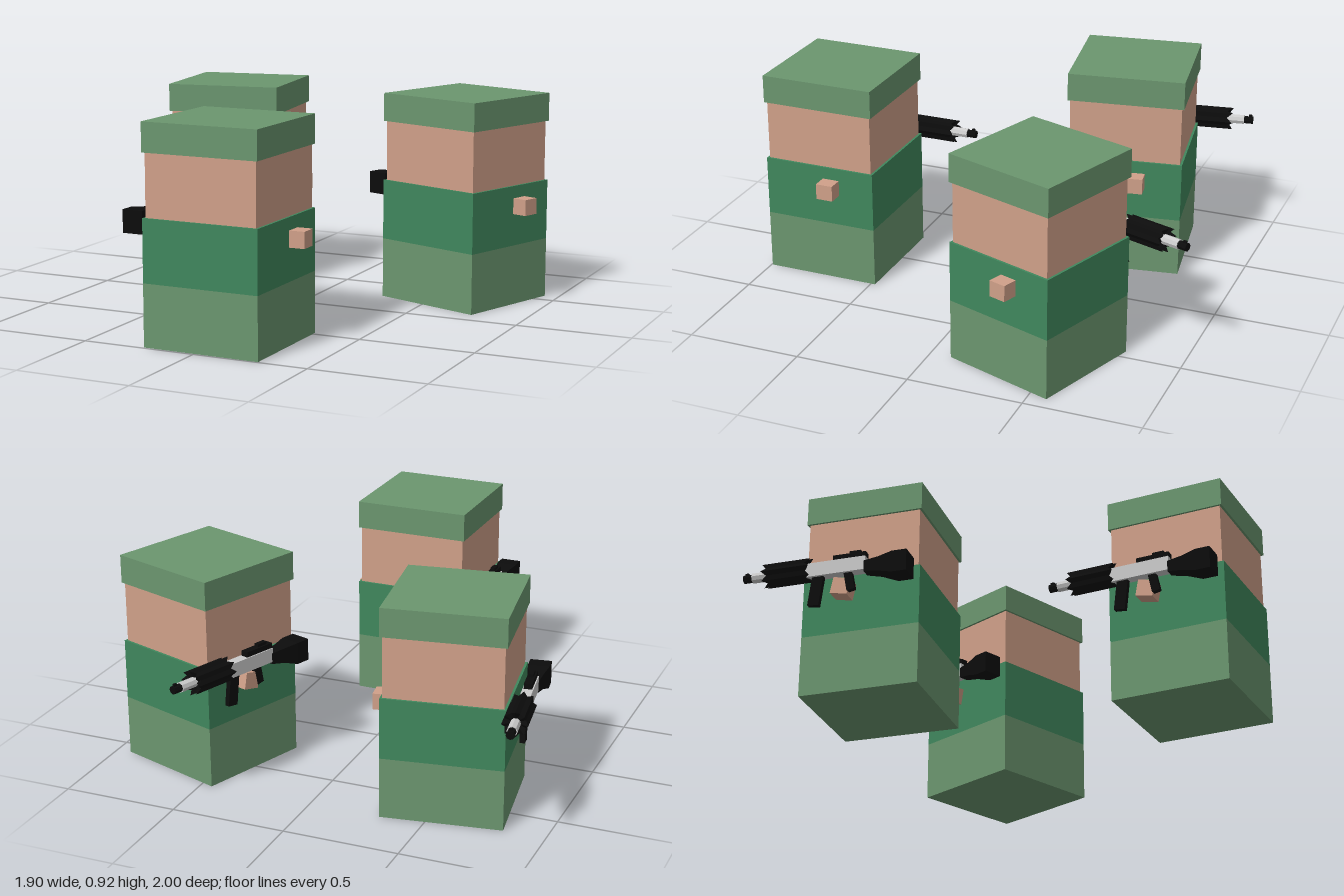
import * as THREE from 'three';

const mat = (color) => new THREE.MeshStandardMaterial({ color, flatShading: true });
const lightGreen = mat(0x6b966f);
const darkGreen = mat(0x40875d);
const skin = mat(0xd0a089);
const black = mat(0x0c0c0c);
const grey = mat(0xcccccc);

function add(parent, name, geometry, material, x = 0, y = 0, z = 0) {
  const mesh = new THREE.Mesh(geometry, material);
  mesh.name = name;
  mesh.position.set(x, y, z);
  parent.add(mesh);
  return mesh;
}

// Box given by its width and its y and z ranges
function block(parent, name, material, width, y0, y1, z0, z1, x = 0) {
  const geometry = new THREE.BoxGeometry(width, y1 - y0, z1 - z0);
  return add(parent, name, geometry, material, x, (y0 + y1) / 2, (z0 + z1) / 2);
}

// Cylinder lying along z
function rod(parent, name, material, radius, y, z0, z1, sides = 8) {
  const geometry = new THREE.CylinderGeometry(radius, radius, z1 - z0, sides).rotateX(Math.PI / 2);
  return add(parent, name, geometry, material, 0, y, (z0 + z1) / 2);
}

// Ridged sleeve: alternating radii, outer ridges reach further, ends hollowed
function handguardGeometry() {
  const sides = 16, half = 0.085;
  const g = new THREE.CylinderGeometry(1, 1, 2, sides);
  const p = g.attributes.position;
  for (let i = 0; i < p.count; i++) {
    const x = p.getX(i), z = p.getZ(i), end = p.getY(i);
    if (Math.hypot(x, z) < 0.5) {
      p.setY(i, end * (half - 0.01));
      continue;
    }
    const k = Math.round((Math.atan2(z, x) / (2 * Math.PI)) * sides + sides);
    const outer = k % 2 === 0;
    const r = outer ? 0.053 : 0.045;
    p.setXYZ(i, x * r, end * (outer ? half + 0.022 : half), z * r);
  }
  return g.rotateX(Math.PI / 2);
}

// Stock flaring from the receiver to the butt
function stockGeometry() {
  const g = new THREE.BoxGeometry(0.09, 0.096, 0.195, 1, 1, 3);
  const p = g.attributes.position;
  for (let i = 0; i < p.count; i++) {
    const t = p.getZ(i) / 0.195 + 0.5;
    const s = t < 0.2 ? 0.5 : t < 0.5 ? 0.68 : 1;
    p.setX(i, p.getX(i) * s);
    p.setY(i, 0.02 * (1 - s) + p.getY(i) * s);
  }
  return g;
}

function createRifle() {
  const rifle = new THREE.Group();
  rifle.name = 'rifle';
  rod(rifle, 'muzzle', black, 0.018, 0.54, -0.505, -0.46);
  block(rifle, 'frontSight', black, 0.01, 0.55, 0.565, -0.5, -0.485);
  rod(rifle, 'barrel', grey, 0.022, 0.54, -0.465, -0.19);
  add(rifle, 'handguard', handguardGeometry(), black, 0, 0.54, -0.303);
  block(rifle, 'receiver', grey, 0.044, 0.5, 0.562, -0.22, 0.045);
  block(rifle, 'sightRail', black, 0.034, 0.56, 0.585, -0.1, 0.045);
  block(rifle, 'rearSight', black, 0.02, 0.582, 0.598, -0.03, 0.02);
  const magazine = block(rifle, 'magazine', black, 0.022, 0.37, 0.51, -0.2, -0.15);
  magazine.rotation.x = 0.12;
  const grip = block(rifle, 'pistolGrip', black, 0.022, 0.42, 0.51, -0.045, -0.01);
  grip.rotation.x = -0.2;
  add(rifle, 'stock', stockGeometry(), black, 0, 0.505, 0.1375);
  return rifle;
}

function createSoldier() {
  const soldier = new THREE.Group();
  const w = 0.515, h = w / 2;
  block(soldier, 'trousers', lightGreen, w, 0, 0.264, -h, h);
  block(soldier, 'jacket', darkGreen, w, 0.264, 0.529, -h, h);
  block(soldier, 'head', skin, 0.495, 0.529, 0.793, -0.2475, 0.2475);
  block(soldier, 'cap', lightGreen, w, 0.793, 0.917, -h, h);
  block(soldier, 'leftHand', skin, 0.07, 0.405, 0.475, -0.095, -0.018, 0.29);
  const rightHand = block(soldier, 'rightHand', skin, 0.07, 0.41, 0.482, -0.105, -0.028, -0.29);
  rightHand.rotation.x = 0.2;
  const rifle = createRifle();
  rifle.position.x = -0.316;
  soldier.add(rifle);
  return soldier;
}

export function createModel() {
  const model = new THREE.Group();
  model.name = 'soldiers';
  // x, z and turn of each soldier
  const places = [
    ['frontSoldier', 0.03, 0.735, -0.01],
    ['rightSoldier', -0.526, -0.443, 0.153],
    ['leftSoldier', 0.608, -0.42, -0.338],
  ];
  for (const [name, x, z, turn] of places) {
    const soldier = createSoldier();
    soldier.name = name;
    soldier.position.set(x, 0, z);
    soldier.rotation.y = turn;
    model.add(soldier);
  }
  return model;
}
